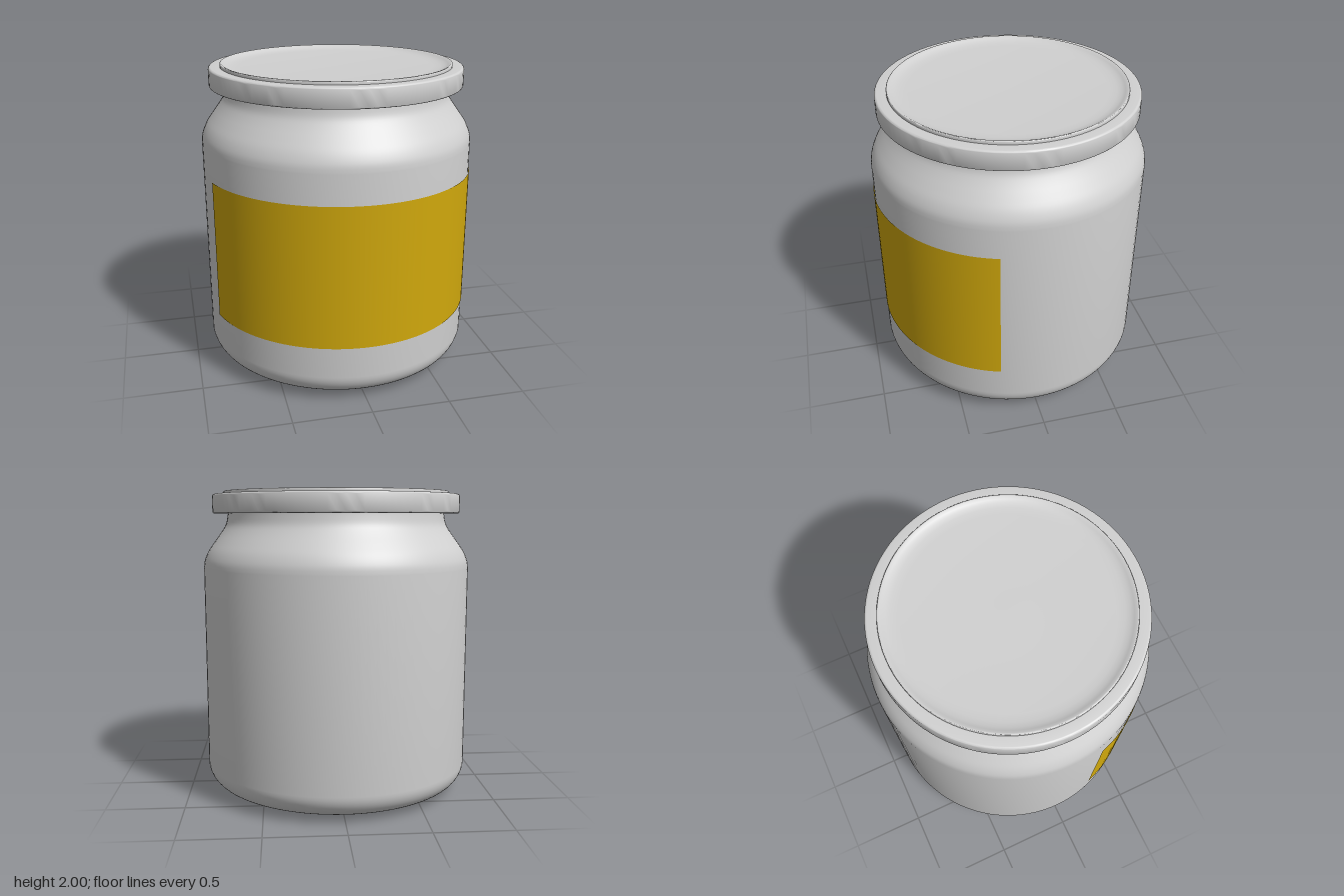
import * as THREE from 'three';
import { toCreasedNormals } from 'three/addons/utils/BufferGeometryUtils.js';

const SEGMENTS = 96;

// Revolve a list of [radius, height] points, keeping hard edges crisp.
function turned(name, profile, material) {
  const points = profile.map(([r, y]) => new THREE.Vector2(r, y));
  const geometry = toCreasedNormals(new THREE.LatheGeometry(points, SEGMENTS), 0.6);
  const mesh = new THREE.Mesh(geometry, material);
  mesh.name = name;
  return mesh;
}

// Points of a circular fillet around (cx, cy), from one angle to another.
function arc(cx, cy, radius, from, to, steps) {
  return Array.from({ length: steps + 1 }, (_, i) => {
    const a = from + ((to - from) * i) / steps;
    return [cx + radius * Math.cos(a), cy + radius * Math.sin(a)];
  });
}

export function createModel() {
  const jarGrey = new THREE.MeshStandardMaterial({ color: 0xd0d0d0 });
  jarGrey.name = 'jarGrey';
  const labelGold = new THREE.MeshStandardMaterial({ color: 0xd0a80c, side: THREE.DoubleSide });
  labelGold.name = 'labelGold';

  const jar = new THREE.Group();
  jar.name = 'jar';
  const H = Math.PI / 2;

  // Smooth shoulder running from the straight wall up to the neck
  const shoulder = new THREE.SplineCurve([
    [0.885, 1.5], [0.878, 1.55], [0.852, 1.61], [0.811, 1.67],
    [0.764, 1.735], [0.735, 1.785], [0.723, 1.84], [0.72, 1.87],
  ].map(([x, y]) => new THREE.Vector2(x, y))).getPoints(24).map((p) => [p.x, p.y]);

  // Jar body with rounded base
  jar.add(turned('body', [
    [0.66, 0.03], [0.73, 0.03],
    ...arc(0.73, 0.185, 0.155, -H, 0, 12),
    ...shoulder,
  ], jarGrey));

  // Low foot ring closed by a barely recessed base
  jar.add(turned('foot', [
    [0, 0.008], [0.655, 0.008], [0.66, 0], [0.685, 0], [0.685, 0.035],
  ], jarGrey));

  // Lid with softened rim, raised bead and shallow dished top
  jar.add(turned('lid', [
    [0.7, 1.855], [0.81, 1.855],
    ...arc(0.81, 1.867, 0.012, -H, 0, 4),
    ...arc(0.806, 1.964, 0.016, 0, H, 5),
    [0.748, 1.98], [0.748, 1.994],
    ...arc(0.742, 1.994, 0.006, 0, H, 3),
    [0.735, 1.999], [0.72, 1.99], [0.7, 1.982], [0.67, 1.976], [0.62, 1.973], [0, 1.973],
  ], jarGrey));

  // Label wrapped around the front
  const span = 2.56;
  const label = new THREE.Mesh(
    new THREE.CylinderGeometry(0.889, 0.889, 0.92, 64, 1, true, -span / 2, span),
    labelGold,
  );
  label.name = 'label';
  label.position.y = 0.85;
  jar.add(label);

  return jar;
}
